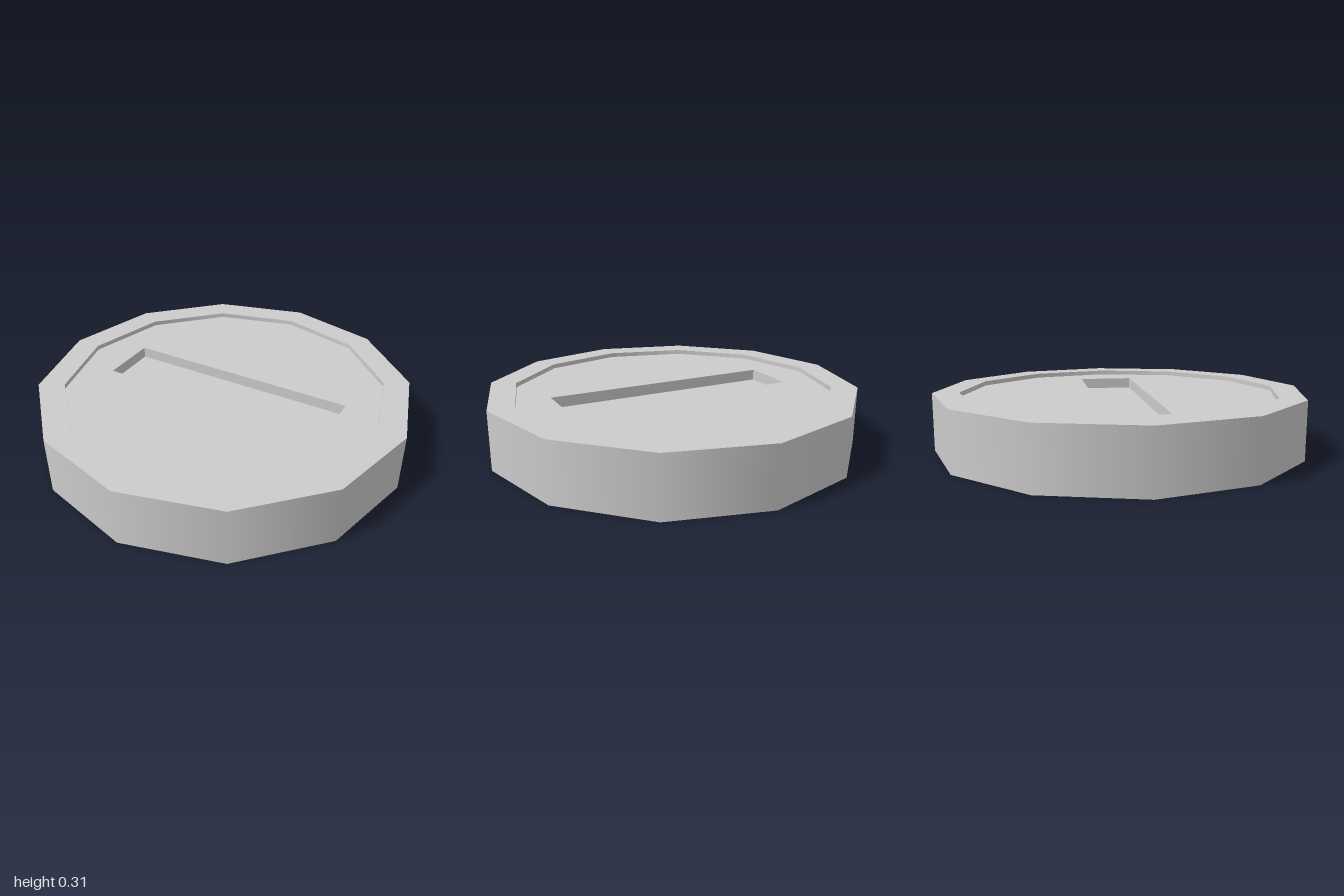
import * as THREE from 'three';

const SIDES = 12;
const HALF = 0.155;                 // half thickness
const R = 1, FIELD_R = 0.86;        // outer and recessed field radii
const FIELD_Y = HALF - 0.025;       // level of the recessed field
const SLOT_Y = FIELD_Y - 0.06;      // level of the slot floor
const SLOT_X = 0.635, SLOT_Z = 0.153; // half sizes of the slot

const material = new THREE.MeshStandardMaterial({ color: 0xcccccc });

function add(parent, name, geometry) {
  const mesh = new THREE.Mesh(geometry, material);
  mesh.name = name;
  parent.add(mesh);
  return mesh;
}

// Twelve-sided band between two profile points
function band(r0, y0, r1, y1) {
  return new THREE.LatheGeometry([new THREE.Vector2(r0, y0), new THREE.Vector2(r1, y1)], SIDES);
}

// Recessed field with a rectangular opening for the slot
function fieldGeometry() {
  const corners = [];
  for (let i = 0; i < SIDES; i++) {
    const a = (i / SIDES) * Math.PI * 2;
    corners.push(new THREE.Vector2(Math.cos(a) * FIELD_R, Math.sin(a) * FIELD_R));
  }
  const shape = new THREE.Shape(corners);
  shape.holes.push(new THREE.Path([
    new THREE.Vector2(-SLOT_X, -SLOT_Z), new THREE.Vector2(-SLOT_X, SLOT_Z),
    new THREE.Vector2(SLOT_X, SLOT_Z), new THREE.Vector2(SLOT_X, -SLOT_Z),
  ]));
  return new THREE.ShapeGeometry(shape).rotateX(-Math.PI / 2).translate(0, FIELD_Y, 0);
}

// One face of the coin: rim, recess, slot
function createFace(name) {
  const face = new THREE.Group();
  face.name = name;
  add(face, 'rim', band(R, HALF, FIELD_R, HALF));
  add(face, 'rimInnerWall', band(FIELD_R, HALF, FIELD_R, FIELD_Y));
  add(face, 'field', fieldGeometry());
  add(face, 'slotFloor', new THREE.PlaneGeometry(SLOT_X * 2, SLOT_Z * 2)
    .rotateX(-Math.PI / 2).translate(0, SLOT_Y, 0));

  // Four slot walls, each facing the slot centre
  for (let i = 0; i < 4; i++) {
    const [width, distance] = i % 2 ? [SLOT_Z * 2, SLOT_X] : [SLOT_X * 2, SLOT_Z];
    add(face, 'slotWall', new THREE.PlaneGeometry(width, FIELD_Y - SLOT_Y)
      .translate(0, (FIELD_Y + SLOT_Y) / 2, -distance)
      .rotateY((i * Math.PI) / 2));
  }
  return face;
}

export function createModel() {
  const coin = new THREE.Group();
  coin.name = 'coin';

  // Smooth-shaded edge
  add(coin, 'edge', band(R, -HALF, R, HALF));

  // Same relief on both faces
  const top = createFace('topFace');
  const bottom = createFace('bottomFace');
  bottom.rotation.x = Math.PI;
  coin.add(top, bottom);

  coin.position.y = HALF;
  const model = new THREE.Group();
  model.name = 'slottedCoin';
  model.add(coin);
  return model;
}
